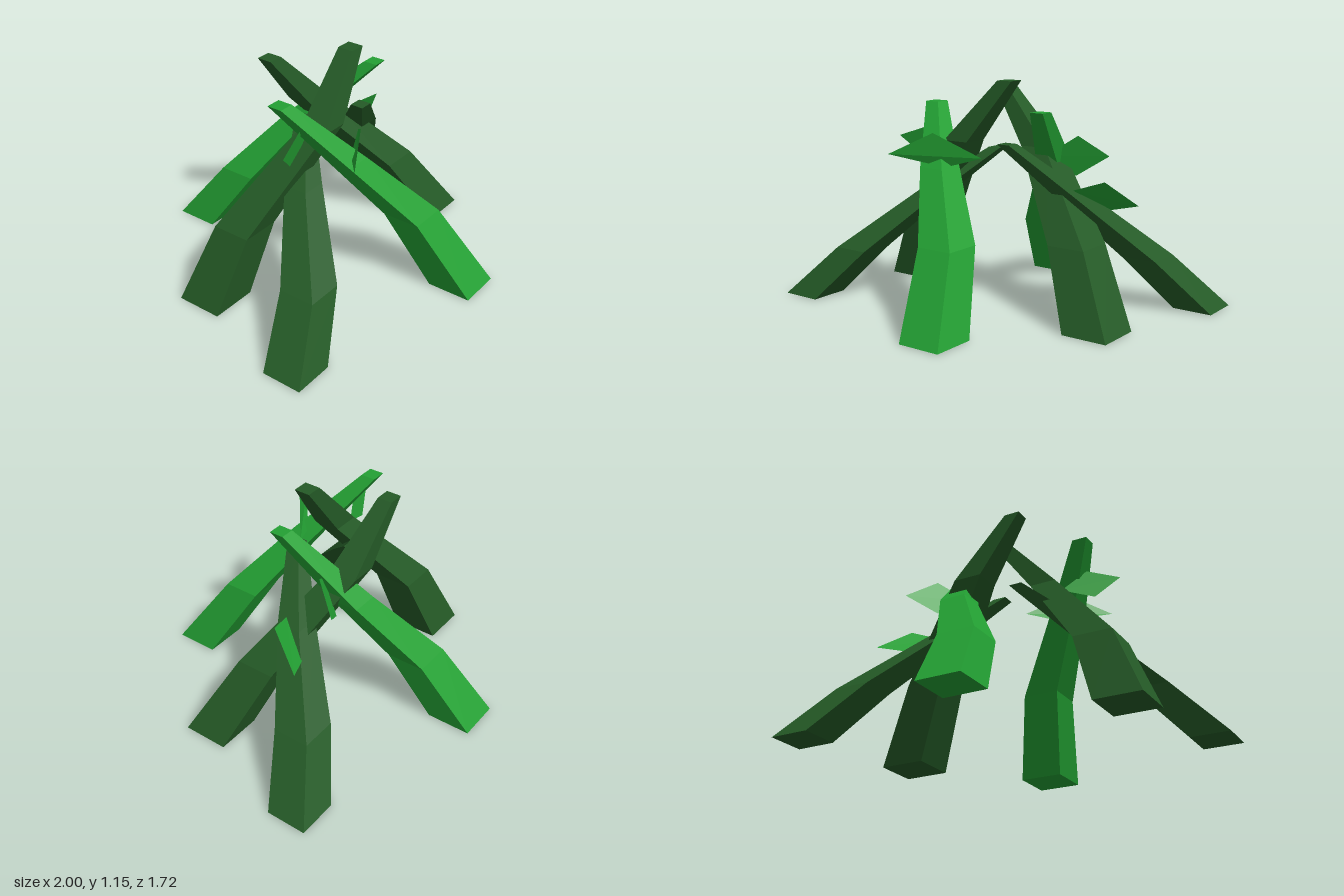
import * as THREE from 'three';

const wood = new THREE.MeshStandardMaterial({ color: 0x245a26, flatShading: true });
const fresh = new THREE.MeshStandardMaterial({ color: 0x23a033, flatShading: true });
const leafMat = new THREE.MeshStandardMaterial({ color: 0x23a033, flatShading: true, side: THREE.DoubleSide });

// Bent, tapering square stem: each ring is [x, y, z, width], lying level
function stem(name, rings, material) {
  const geo = new THREE.BoxGeometry(1, 1, 1, 1, rings.length - 1, 1);
  const p = geo.attributes.position;
  for (let i = 0; i < p.count; i++) {
    const [x, y, z, w] = rings[Math.round((p.getY(i) + 0.5) * (rings.length - 1))];
    p.setXYZ(i, x + p.getX(i) * w, y, z + p.getZ(i) * w);
  }
  const flat = geo.toNonIndexed();
  flat.computeVertexNormals();
  const mesh = new THREE.Mesh(flat, material);
  mesh.name = name;
  return mesh;
}

// Flat four-cornered leaf
function leaf(name, corners) {
  const [a, b, c, d] = corners;
  const geo = new THREE.BufferGeometry();
  geo.setAttribute('position', new THREE.Float32BufferAttribute([a, c, b, a, d, c].flat(), 3));
  geo.computeVertexNormals();
  const mesh = new THREE.Mesh(geo, leafMat);
  mesh.name = name;
  return mesh;
}

export function createModel() {
  const group = new THREE.Group();
  group.name = 'leaningStems';

  // Six stems leaning together, listed from the foot up
  const stems = {
    frontStem: [[0.145, 0, 0.745, 0.23], [0.028, 0.39, 0.505, 0.195], [-0.205, 0.72, 0.27, 0.14], [-0.415, 1.02, 0.035, 0.08]],
    backStem: [[-0.125, 0, -0.745, 0.23], [-0.05, 0.335, -0.505, 0.2], [0.15, 0.68, -0.25, 0.14], [0.28, 1.01, 0.085, 0.075]],
    rightFrontStem: [[-0.895, 0, 0.497, 0.21], [-0.645, 0.265, 0.38, 0.19], [-0.335, 0.58, 0.105, 0.13], [-0.095, 0.79, -0.075, 0.07]],
    leftBackStem: [[0.895, 0, -0.483, 0.21], [0.663, 0.265, -0.328, 0.19], [0.365, 0.59, -0.065, 0.13], [0.108, 0.845, 0.125, 0.07]],
    rightBackStem: [[-0.703, 0, -0.175, 0.245], [-0.55, 0.38, -0.095, 0.205], [-0.18, 0.84, 0.105, 0.145], [0.085, 1.155, 0.075, 0.085]],
    leftFrontStem: [[0.682, 0, 0.193, 0.24], [0.467, 0.37, 0.04, 0.205], [0.095, 0.8, -0.195, 0.15], [-0.165, 1.1, -0.235, 0.08]],
  };
  for (const [name, rings] of Object.entries(stems)) {
    const bright = name === 'frontStem' || name === 'backStem';
    group.add(stem(name, rings, bright ? fresh : wood));
  }

  // Two leaves on each side of the crown
  const leaves = {
    frontLeaf: [[-0.39, 0.79, 0.45], [-0.19, 0.9, 0.34], [0, 0.77, 0.19], [-0.17, 0.72, 0.27]],
    rightLeaf: [[-0.56, 0.84, 0.17], [-0.39, 0.9, 0.13], [-0.27, 0.79, 0.07], [-0.44, 0.73, 0.11]],
    backLeaf: [[0.18, 0.76, -0.1], [0.33, 0.87, -0.18], [0.43, 0.755, -0.325], [0.28, 0.65, -0.245]],
    leftLeaf: [[0.4, 0.62, -0.03], [0.55, 0.67, -0.08], [0.64, 0.53, -0.265], [0.49, 0.5, -0.2]],
  };
  for (const [name, corners] of Object.entries(leaves)) group.add(leaf(name, corners));

  return group;
}
